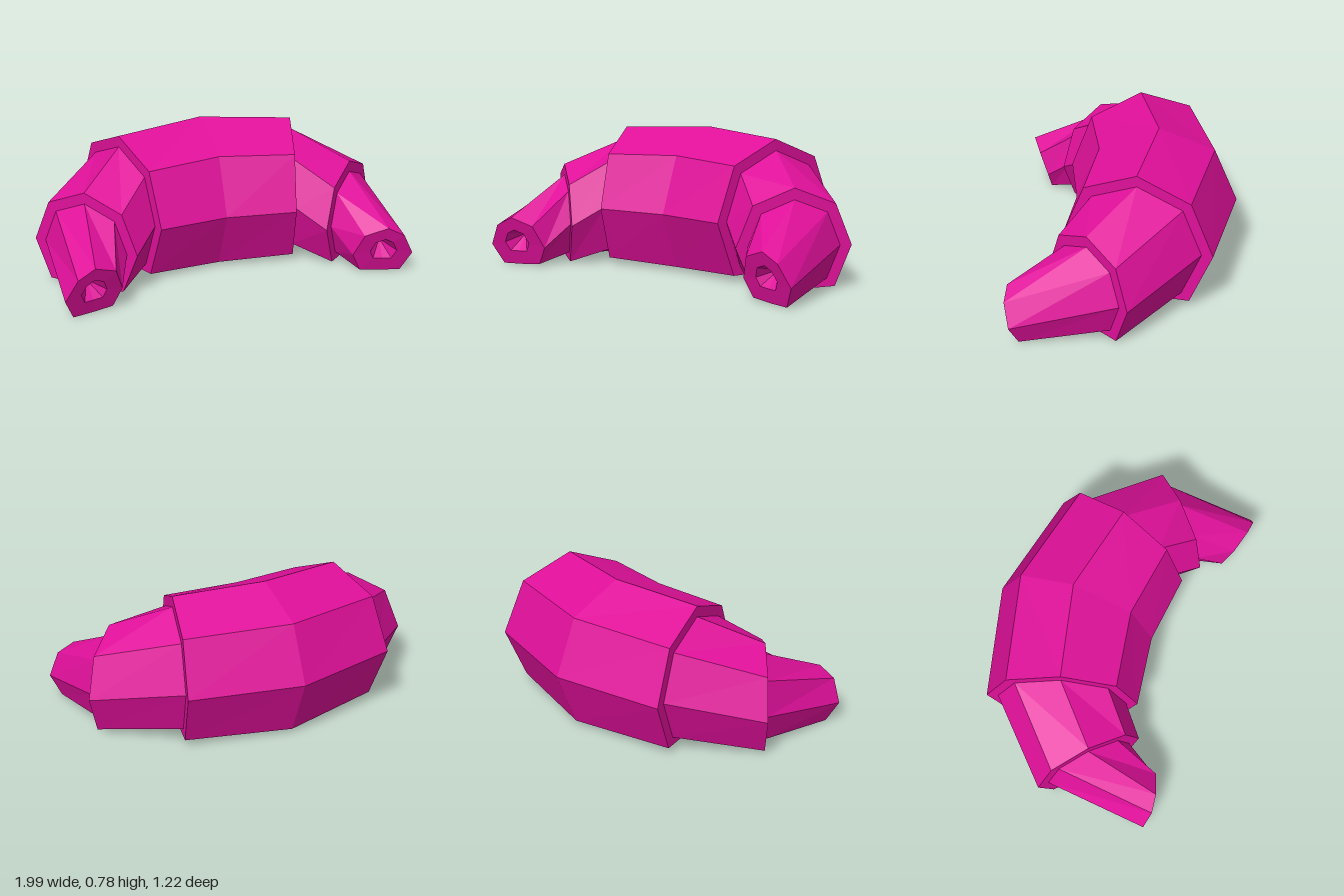
import * as THREE from 'three';

const material = new THREE.MeshStandardMaterial({ color: 0xe0109a, flatShading: true });
const V = (x, y, z) => new THREE.Vector3(x, y, z);
const ring = (points) => points.map((p) => V(...p));
const centreOf = (r) => r.reduce((s, p) => s.add(p), V(0, 0, 0)).divideScalar(r.length);
const inset = (r, c, scale) => r.map((p) => p.clone().sub(c).multiplyScalar(scale).add(c));
const mirror = (rings) => rings.map((r) => r.map((p) => V(-p.x, p.y, p.z))).reverse();

// Skin between eight-sided rings (ordered towards +x), capped at both ends
function loft(name, rings) {
  const pos = [];
  const tri = (a, b, c) => {
    const area = b.clone().sub(a).cross(c.clone().sub(a)).length();
    if (area > 1e-7) for (const p of [a, b, c]) pos.push(p.x, p.y, p.z);
  };
  const first = rings[0], last = rings[rings.length - 1];
  const n = first.length, c0 = centreOf(first), c1 = centreOf(last);
  for (let i = 0; i < n; i++) {
    const j = (i + 1) % n;
    for (let k = 0; k < rings.length - 1; k++) {
      const a = rings[k], b = rings[k + 1];
      tri(a[i], a[j], b[i]);
      tri(a[j], b[j], b[i]);
    }
    tri(c0, first[j], first[i]);
    tri(c1, last[i], last[j]);
  }
  const geometry = new THREE.BufferGeometry();
  geometry.setAttribute('position', new THREE.Float32BufferAttribute(pos, 3));
  geometry.computeVertexNormals();
  const mesh = new THREE.Mesh(geometry, material);
  mesh.name = name;
  return mesh;
}

export function createModel() {
  const group = new THREE.Group();
  group.name = 'croissant';

  // Ring order: outer, outer top, top, inner top, inner, inner bottom, bottom, outer bottom
  const middle = ring([
    [0, 0.34, -0.61], [0, 0.65, -0.48], [0, 0.78, -0.17], [0, 0.65, 0.16],
    [0, 0.34, 0.29], [0, 0.025, 0.16], [0, 0.02, -0.17], [0, 0.02, -0.48],
  ]);
  const bodyEnd = ring([
    [0.62, 0.34, -0.465], [0.585, 0.635, -0.345], [0.505, 0.755, -0.06], [0.42, 0.635, 0.225],
    [0.39, 0.34, 0.34], [0.42, 0.04, 0.225], [0.505, 0.025, -0.06], [0.585, 0.04, -0.345],
  ]);
  const armEnd = ring([
    [0.995, 0.235, -0.025], [0.93, 0.457, 0.035], [0.77, 0.545, 0.19], [0.61, 0.457, 0.345],
    [0.545, 0.235, 0.405], [0.61, 0.015, 0.345], [0.77, 0.005, 0.19], [0.93, 0.015, 0.035],
  ]);
  const tipEnd = ring([
    [0.985, 0.115, 0.585], [0.92, 0.235, 0.61], [0.825, 0.285, 0.6], [0.705, 0.24, 0.56],
    [0.66, 0.115, 0.51], [0.71, 0.015, 0.495], [0.825, 0.005, 0.515], [0.935, 0.003, 0.54],
  ]);

  // Narrower rings where each segment leaves the one before
  const armStart = inset(bodyEnd, V(0.505, 0.34, -0.06), 0.85);
  armStart[6].y = 0.03;
  const tipStart = inset(armEnd, V(0.77, 0.235, 0.19), 0.8);

  // Conical dimple in the face of each tip
  const rim = inset(tipEnd, V(0.825, 0.15, 0.56), 0.45);
  const apex = rim.map(() => V(0.84, 0.17, 0.46));

  group.add(loft('body', [...mirror([bodyEnd]), middle, bodyEnd]));
  const sideParts = { Arm: [armStart, armEnd], Tip: [tipStart, tipEnd, rim, apex] };
  for (const [part, rings] of Object.entries(sideParts)) {
    group.add(loft('left' + part, rings), loft('right' + part, mirror(rings)));
  }
  return group;
}
